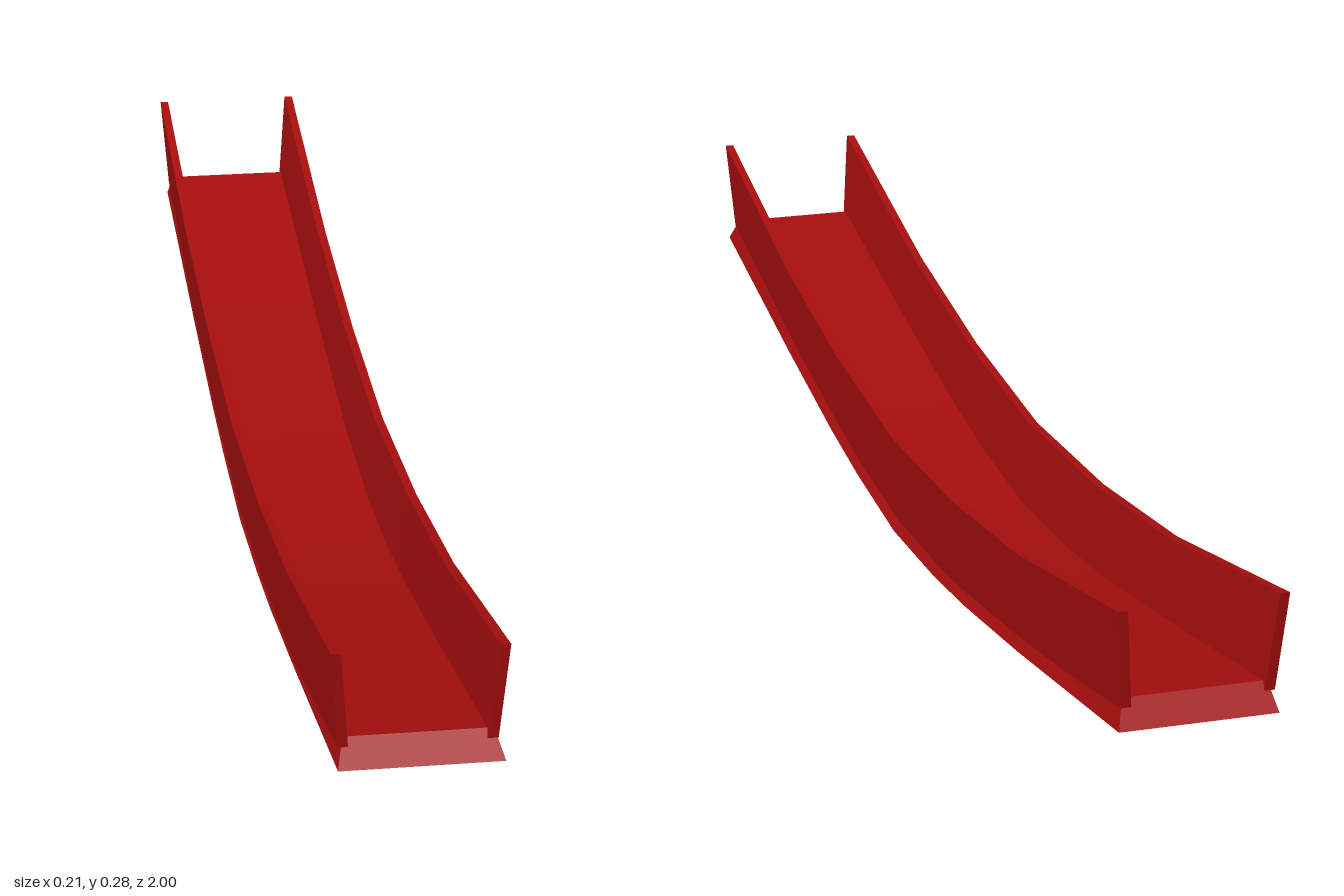
import * as THREE from 'three';

const red = new THREE.MeshStandardMaterial({ color: 0xa80e0e, flatShading: true });

// Skins a closed strip through sections of four corners, each counter-clockwise seen from +z
function loft(name, sections) {
  const pos = [];
  const quad = (a, b, c, d) => pos.push(...a, ...b, ...c, ...a, ...c, ...d);
  for (let i = 0; i < sections.length - 1; i++) {
    const s = sections[i], t = sections[i + 1];
    for (let j = 0; j < 4; j++) {
      const k = (j + 1) % 4;
      quad(s[j], s[k], t[k], t[j]);
    }
  }
  quad(...sections[sections.length - 1]);
  quad(...[...sections[0]].reverse());
  const geometry = new THREE.BufferGeometry();
  geometry.setAttribute('position', new THREE.Float32BufferAttribute(pos, 3));
  geometry.computeVertexNormals();
  const mesh = new THREE.Mesh(geometry, red);
  mesh.name = name;
  return mesh;
}

// Repeats the stations of the front half (from z = 0) on the back half
function bothHalves(stations, section) {
  const back = stations.slice(1).reverse().map((s) => section(s, -1));
  return [...back, ...stations.map((s) => section(s, 1))];
}

export function createModel() {
  const group = new THREE.Group();
  group.name = 'curvedChannel';

  // Floor slab, stations: [bottom z, bottom y, top z, top y]
  const floor = [
    [0, 0.002, 0, 0.024],
    [0.2, 0.012, 0.197, 0.035],
    [0.35, 0.028, 0.343, 0.052],
    [0.6, 0.064, 0.588, 0.091],
    [1, 0.129, 0.977, 0.163],
  ];
  floor[0][1] = 0;
  group.add(loft('floor', bothHalves(floor, ([bz, by, tz, ty], d) => [
    [-0.098, by, bz * d],
    [0.104, by, bz * d],
    [0.093, ty, tz * d],
    [-0.09, ty, tz * d],
  ])));

  // Side walls leaning outwards, stations: [bottom z, bottom y, top z, top y]
  const wall = [
    [0, 0.013, 0, 0.142],
    [0.296, 0.031, 0.3, 0.16],
    [0.592, 0.07, 0.6, 0.2],
    [0.985, 0.153, 1, 0.284],
  ];
  for (const side of [1, -1]) {
    const sections = bothHalves(wall, ([bz, by, tz, ty], d) => {
      const corners = [
        [0.084 * side, by, bz * d],
        [0.097 * side, by, bz * d],
        [0.107 * side, ty, tz * d],
        [0.095 * side, ty, tz * d],
      ];
      return side > 0 ? corners : corners.reverse();
    });
    group.add(loft(side > 0 ? 'leftWall' : 'rightWall', sections));
  }
  return group;
}
